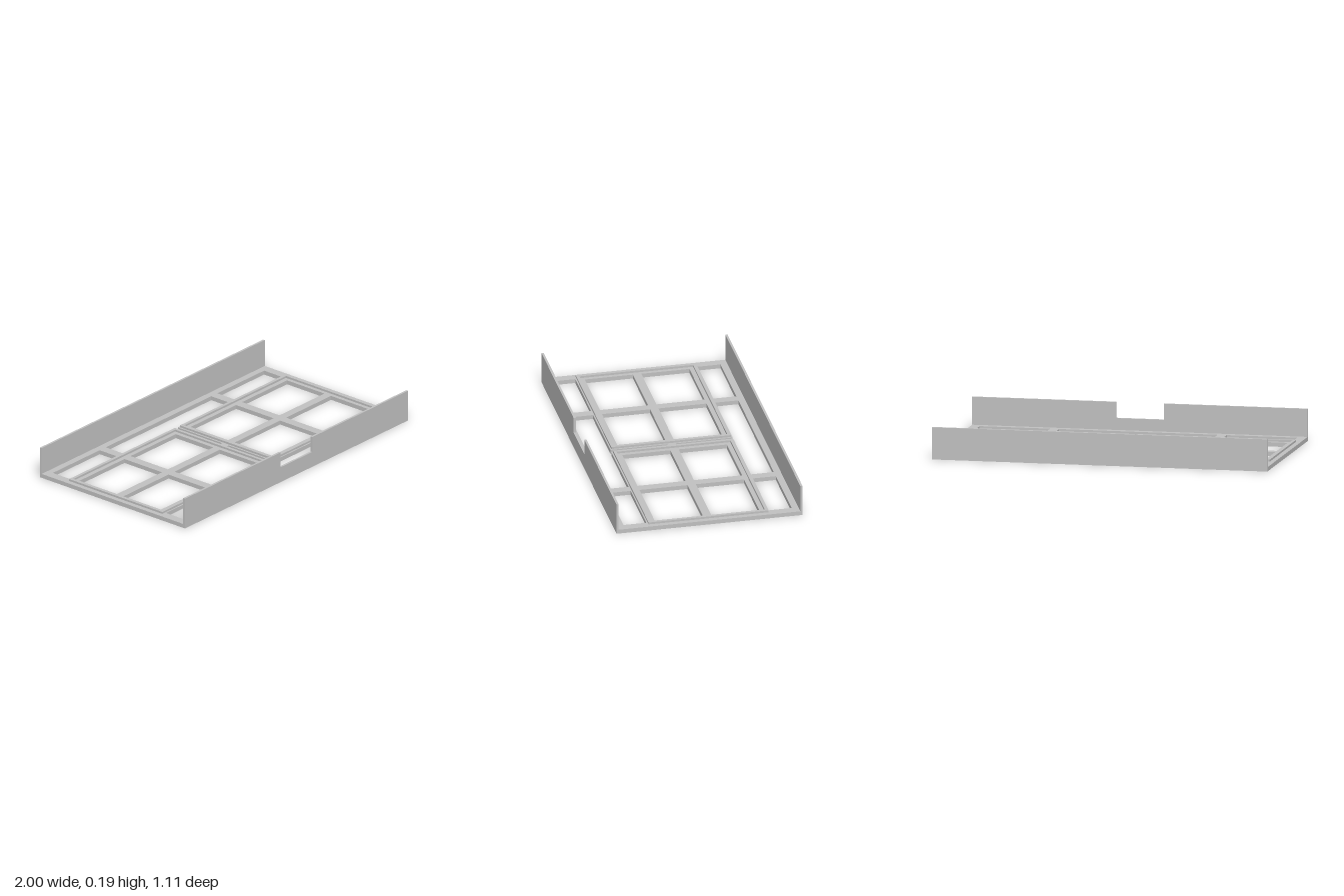
import * as THREE from 'three';

const BASE_H = 0.025, RIM_H = 0.012, WALL_T = 0.013, TOP = 0.19;
const HALF_X = 1, HALF_Z = 0.555;

const polygon = (Type, pts) => new Type(pts.map(([x, y]) => new THREE.Vector2(x, y)));
const corners = (x0, y0, x1, y1) => [[x0, y0], [x1, y0], [x1, y1], [x0, y1]];
const extrude = (shape, depth) => new THREE.ExtrudeGeometry(shape, { depth, bevelEnabled: false });

export function createModel() {
  const model = new THREE.Group();
  model.name = 'windowTray';
  const grey = new THREE.MeshStandardMaterial({ color: 0xc0c0c0 });
  grey.name = 'lightGrey';

  const add = (name, geometry, x, y, z) => {
    const mesh = new THREE.Mesh(geometry, grey);
    mesh.name = name;
    mesh.position.set(x, y, z);
    model.add(mesh);
  };

  // Base lattice: one flat plate with all openings cut out
  const base = polygon(THREE.Shape, corners(-HALF_X, -HALF_Z, HALF_X, HALF_Z));
  for (const sz of [-1, 1]) {
    for (const sx of [-1, 1]) {
      const cut = (x0, z0, x1, z1) =>
        base.holes.push(polygon(THREE.Path, corners(sx * x0, sz * z0, sx * x1, sz * z1)));
      cut(0.067, 0.025, 0.473, 0.312); // inner pane
      cut(0.527, 0.025, 0.93, 0.312); // outer pane
      cut(0.527, 0.365, 0.947, 0.502); // corner opening
    }
    // Middle opening joined to the slot between the two frames
    base.holes.push(polygon(THREE.Path, [
      [-0.013, 0.025], [0.013, 0.025], [0.013, 0.365], [0.473, 0.365],
      [0.473, 0.502], [-0.473, 0.502], [-0.473, 0.365], [-0.013, 0.365],
    ].map(([x, z]) => [x, sz * z])));
  }
  add('baseLattice', extrude(base, BASE_H).rotateX(-Math.PI / 2), 0, 0, 0);

  // Raised rims around the two pane frames
  const rim = polygon(THREE.Shape, corners(-0.474, -0.357, 0.474, 0.357));
  rim.holes.push(polygon(THREE.Path, corners(-0.456, -0.339, 0.456, 0.339)));
  const rimGeometry = extrude(rim, RIM_H).rotateX(-Math.PI / 2);
  add('rightRim', rimGeometry, -0.497, BASE_H, 0);
  add('leftRim', rimGeometry, 0.497, BASE_H, 0);

  // Long walls; the front one has a notch in its top edge
  const backWall = polygon(THREE.Shape, corners(-HALF_X, BASE_H, HALF_X, TOP));
  const frontWall = polygon(THREE.Shape, [
    [-HALF_X, BASE_H], [HALF_X, BASE_H], [HALF_X, TOP], [0.142, TOP],
    [0.142, 0.095], [-0.142, 0.095], [-0.142, TOP], [-HALF_X, TOP],
  ]);
  add('backWall', extrude(backWall, WALL_T), 0, 0, -HALF_Z);
  add('frontWall', extrude(frontWall, WALL_T), 0, 0, HALF_Z - WALL_T);

  return model;
}
